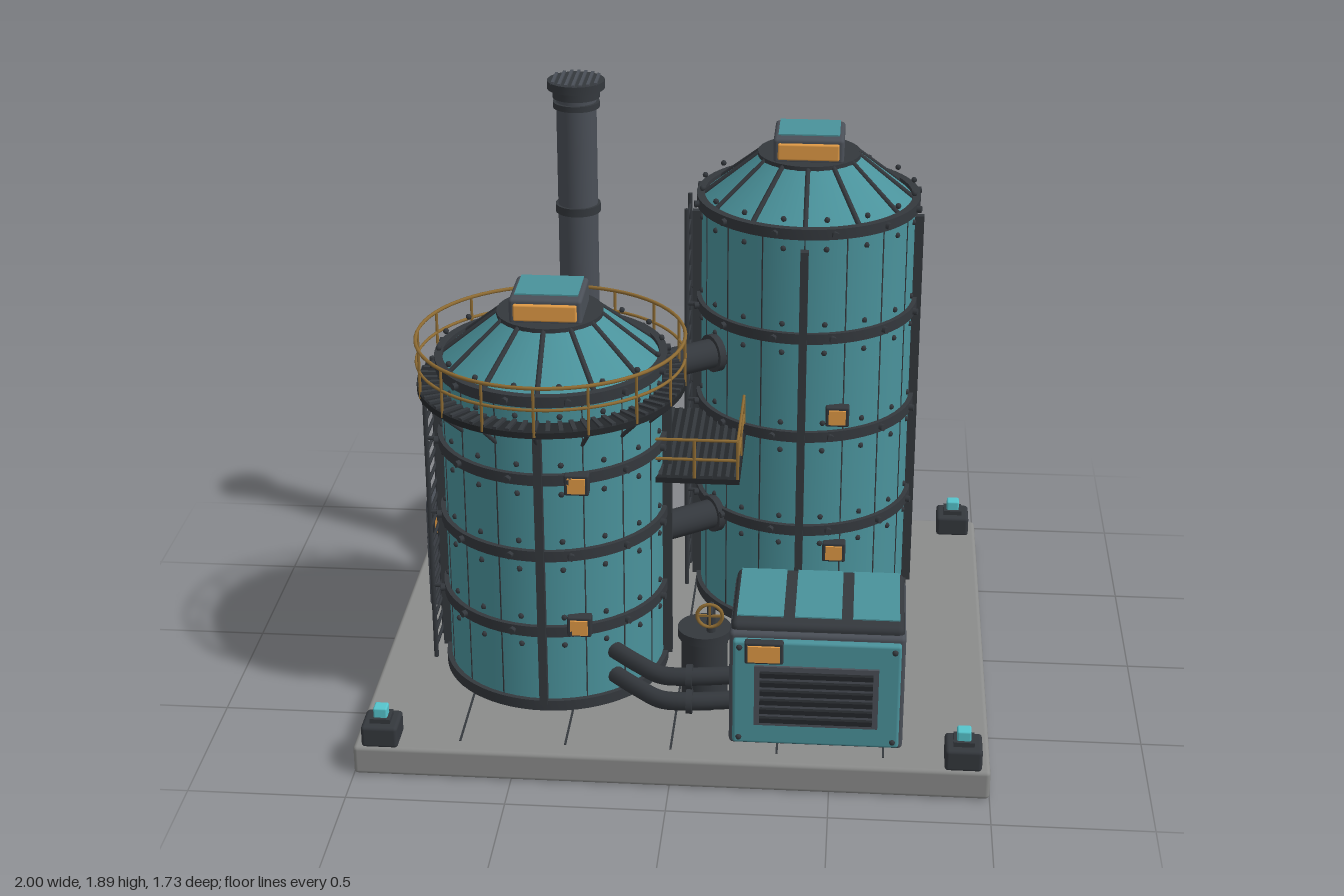
import * as THREE from 'three';
import { mergeGeometries, toCreasedNormals } from 'three/addons/utils/BufferGeometryUtils.js';
import { RoundedBoxGeometry } from 'three/addons/geometries/RoundedBoxGeometry.js';

const mat = (color) => new THREE.MeshStandardMaterial({ color, side: THREE.DoubleSide });
const teal = mat(0x4a929b), dark = mat(0x34383d), steel = mat(0x4a4f57), stone = mat(0x8b8c8b);
const amber = mat(0xe09a45), brass = mat(0x8f6c33), black = mat(0x24272a), glow = mat(0x55c4cc);
const V = (x, y, z) => new THREE.Vector3(x, y, z);

// Geometry helpers; each returns a placed geometry so repeats can be merged
const box = (w, h, d, x, y, z) => new THREE.BoxGeometry(w, h, d).translate(x, y, z);
const rbox = (w, h, d, x, y, z, r = 0.012) => new RoundedBoxGeometry(w, h, d, 2, r).translate(x, y, z);
const cyl = (r, y0, y1, x = 0, z = 0, r2 = r, n = 32) =>
  toCreasedNormals(new THREE.CylinderGeometry(r2, r, y1 - y0, n).translate(x, (y0 + y1) / 2, z), 0.6);
const hoop = (r, t, y, n = 64) => new THREE.TorusGeometry(r, t, 6, n).rotateX(Math.PI / 2).translate(0, y, 0);
function rod(a, b, r, n = 8) {
  const d = b.clone().sub(a), g = new THREE.CylinderGeometry(r, r, d.length(), n);
  g.applyQuaternion(new THREE.Quaternion().setFromUnitVectors(V(0, 1, 0), d.clone().normalize()));
  const m = a.clone().add(b).multiplyScalar(0.5);
  return g.translate(m.x, m.y, m.z);
}
// Repeats a geometry that faces +z around the y axis
const ring = (n, make, start = 0) =>
  Array.from({ length: n }, (_, i) => make(i).rotateY(start + (i / n) * Math.PI * 2));
const range = (n, fn) => Array.from({ length: n }, (_, i) => fn(i));

function add(group, name, material, ...geos) {
  const list = geos.flat().map((g) => (g.index ? g.toNonIndexed() : g));
  const mesh = new THREE.Mesh(list.length > 1 ? mergeGeometries(list) : list[0], material);
  mesh.name = name;
  group.add(mesh);
  return mesh;
}

// Flat collar with a rectangular section
const collar = (ri, ro, y0, y1) => toCreasedNormals(new THREE.LatheGeometry(
  [[ri, y0], [ro, y0], [ro, y1], [ri, y1], [ri, y0]].map((p) => new THREE.Vector2(...p)), 64), 0.6);

function tank(name, x, z, top, bands, ribTop, ladderTop) {
  const g = new THREE.Group();
  g.name = name;
  g.position.set(x, 0, z);
  const R = 0.355, coneTop = top + 0.15;
  add(g, 'tankShell', teal, cyl(R, 0.1, top, 0, 0, R, 48));
  add(g, 'panelSeams', dark, ring(16, () => box(0.004, top - 0.12, 0.004, 0, (top + 0.12) / 2, R)));
  add(g, 'bands', dark, [0.12, ...bands].map((y) => collar(R - 0.01, 0.371, y - 0.018, y + 0.018)));
  add(g, 'bandBolts', dark, bands.map((y) => [
    ring(12, () => new THREE.CylinderGeometry(0.012, 0.012, 0.02, 6).rotateX(Math.PI / 2).translate(0, y, 0.376), Math.PI / 12),
    [-0.055, 0.045].map((dy) => ring(16, () => new THREE.SphereGeometry(0.01, 6, 4).translate(0, y + dy, R), Math.PI / 16)),
  ]).flat(3));
  add(g, 'verticalRibs', dark, ring(4, () => box(0.026, ribTop - 0.13, 0.03, 0, (ribTop + 0.13) / 2, 0.37)));

  // Conical roof with radial ribs and a hatch
  add(g, 'coneRoof', teal, cyl(0.35, top, coneTop, 0, 0, 0.165, 48));
  add(g, 'roofRibs', dark, ring(12, () => rod(V(0, top + 0.004, 0.35), V(0, coneTop + 0.004, 0.16), 0.009, 6)));
  add(g, 'roofCap', dark, cyl(0.17, coneTop - 0.01, coneTop + 0.01));
  add(g, 'hatch', steel, rbox(0.23, 0.085, 0.21, 0, coneTop + 0.045, 0.015));
  add(g, 'hatchPlate', teal, box(0.2, 0.006, 0.165, 0, coneTop + 0.089, 0));
  add(g, 'hatchLamp', amber, rbox(0.2, 0.055, 0.02, 0, coneTop + 0.045, 0.122, 0.006));

  // Ladder on the side facing -x
  const rungs = Math.round((ladderTop - 0.15) / 0.055);
  add(g, 'ladder', dark,
    [-0.08, 0.08].map((dz) => rod(V(-0.4, 0.12, dz), V(-0.4, ladderTop, dz), 0.008, 6)),
    range(rungs, (i) => rod(V(-0.4, 0.16 + i * 0.055, -0.08), V(-0.4, 0.16 + i * 0.055, 0.08), 0.006, 5)),
    bands.filter((y) => y < ladderTop).flatMap((y) =>
      [-0.08, 0.08].map((dz) => rod(V(-0.4, y, dz), V(-0.34, y, dz), 0.007, 5))));

  // Indicator lamps on the front
  const lampZ = Math.sqrt(R * R - 0.118 * 0.118);
  for (const y of [0.41, 0.91]) {
    add(g, 'lampFrame', dark, rbox(0.078, 0.07, 0.04, 0.118, y, lampZ + 0.012, 0.006));
    add(g, 'lamp', amber, box(0.056, 0.05, 0.01, 0.118, y, lampZ + 0.034));
  }
  return g;
}

// Walkway around the short tank
function walkway() {
  const g = new THREE.Group();
  g.name = 'walkway';
  add(g, 'walkwayDeck', black, collar(0.35, 0.43, 1.095, 1.115));
  add(g, 'walkwaySlats', dark, ring(64, () => box(0.014, 0.01, 0.08, 0, 1.118, 0.388)));
  add(g, 'walkwayBrackets', dark, ring(16, () => rod(V(0, 1.03, 0.35), V(0, 1.095, 0.42), 0.007, 5)));
  add(g, 'walkwayRailing', brass, hoop(0.428, 0.006, 1.262), hoop(0.428, 0.005, 1.19),
    ring(16, () => rod(V(0, 1.1, 0.428), V(0, 1.262, 0.428), 0.005, 5)));
  return g;
}

function generator() {
  const g = new THREE.Group();
  g.name = 'generator';
  const cx = 0.453;
  add(g, 'generatorBody', steel, rbox(0.545, 0.4, 0.385, cx, 0.31, 0.577, 0.015));
  add(g, 'generatorLid', dark, rbox(0.535, 0.06, 0.37, cx, 0.505, 0.57, 0.02));
  add(g, 'lidPanels', teal, [-0.18, 0, 0.18].map((d) => box(0.145, 0.008, 0.31, cx + d, 0.535, 0.555)));
  add(g, 'frontPanel', teal, rbox(0.52, 0.365, 0.03, cx, 0.31, 0.778, 0.01));
  add(g, 'grilleFrame', steel, box(0.385, 0.21, 0.012, cx, 0.305, 0.796));
  add(g, 'grilleSlats', black, range(6, (i) => box(0.35, 0.016, 0.016, cx, 0.225 + i * 0.032, 0.808)));
  add(g, 'panelBolts', dark, [-1, 1].flatMap((s) => [0.15, 0.47].map((y) =>
    new THREE.SphereGeometry(0.01, 6, 4).translate(cx + s * 0.24, y, 0.793))));
  add(g, 'lampFrame', dark, rbox(0.12, 0.075, 0.03, 0.29, 0.462, 0.8, 0.006));
  add(g, 'lamp', amber, box(0.1, 0.055, 0.012, 0.29, 0.462, 0.816));
  return g;
}

export function createModel() {
  const model = new THREE.Group();
  model.name = 'industrialPlant';

  // Base slab and corner posts
  add(model, 'baseSlab', stone, rbox(2, 0.1, 1.732, 0, 0.05, 0, 0.014));
  add(model, 'baseSeams', dark, [-2, -1, 0, 1, 2].map((i) => box(0.007, 0.004, 1.61, i / 3, 0.1, 0)));
  for (const x of [-0.915, 0.915]) for (const z of [-0.802, 0.802]) {
    add(model, 'cornerPost', dark, rbox(0.116, 0.075, 0.116, x, 0.132, z), box(0.065, 0.02, 0.065, x, 0.175, z));
    add(model, 'cornerLight', glow, rbox(0.044, 0.045, 0.044, x, 0.195, z, 0.006));
  }

  // Tanks
  const short = tank('shortTank', -0.425, 0.235, 1.19, [0.39, 0.66, 0.925, 1.19], 1.09, 1.14);
  short.add(walkway());
  model.add(short, tank('tallTank', 0.37, -0.34, 1.545, [0.49, 0.835, 1.185, 1.545], 1.49, 1.52));

  // Pipes joining the tanks
  const a = V(-0.425, 0, 0.235), b = V(0.37, 0, -0.34);
  const between = (t, y) => a.clone().lerp(b, t).setY(y);
  for (const y of [0.47, 1.065]) {
    add(model, 'linkPipe', dark, rod(between(0.3, y), between(0.7, y), 0.05, 20));
    add(model, 'linkFlanges', dark, [0.36, 0.61].map((t) => rod(between(t, y), between(t + 0.025, y), 0.064, 20)));
  }

  // Exhaust stack
  const sx = -0.42, sz = -0.5;
  add(model, 'stack', steel, cyl(0.068, 0.1, 1.85, sx, sz));
  add(model, 'stackRings', dark, [0.12, 0.55, 0.99, 1.435].map((y) => cyl(0.077, y - 0.014, y + 0.014, sx, sz)));
  add(model, 'stackCap', dark, cyl(0.079, 1.79, 1.81, sx, sz), cyl(0.08, 1.825, 1.855, sx, sz), cyl(0.097, 1.855, 1.883, sx, sz));
  add(model, 'stackCapSlats', steel, range(7, (i) => {
    const d = (i - 3) * 0.024;
    return box(0.01, 0.01, 2 * Math.sqrt(0.0088 - d * d), sx + d, 1.885, sz);
  }));

  // Service platform between the tanks
  add(model, 'platformDeck', black, box(0.325, 0.018, 0.545, 0.022, 0.811, 0.063));
  add(model, 'platformSlats', dark, range(12, (i) => box(0.012, 0.008, 0.53, -0.125 + i * 0.027, 0.823, 0.063)));
  add(model, 'platformRailing', brass,
    [0.885, 0.953].flatMap((y) => [
      rod(V(-0.1, y, 0.33), V(0.178, y, 0.33), 0.005, 6), rod(V(0.178, y, 0.33), V(0.178, y, -0.03), 0.005, 6)]),
    [[0.04, 0.33], [0.178, 0.33], [0.178, 0.15], [0.178, -0.03]].map(([x, z]) => rod(V(x, 0.82, z), V(x, 0.953, z), 0.006, 6)));

  // Generator with its feed pipes
  model.add(generator());
  for (const y of [0.19, 0.28]) {
    const path = new THREE.CatmullRomCurve3(
      [V(-0.21, y, 0.5), V(-0.12, y, 0.59), V(-0.04, y, 0.655), V(0.05, y + 0.01, 0.675), V(0.2, y + 0.02, 0.67)]);
    add(model, 'feedPipe', dark, new THREE.TubeGeometry(path, 24, 0.029, 12));
    add(model, 'feedFlange', dark, rod(V(0.04, y + 0.01, 0.675), V(0.06, y + 0.01, 0.675), 0.04, 16));
  }

  // Small drum with a hand wheel
  add(model, 'drum', dark, cyl(0.075, 0.1, 0.36, 0.085, 0.49), cyl(0.086, 0.34, 0.37, 0.085, 0.49));
  add(model, 'valveStem', dark, rod(V(0.108, 0.36, 0.52), V(0.108, 0.462, 0.52), 0.014), rod(V(0.108, 0.462, 0.51), V(0.108, 0.462, 0.588), 0.01));
  add(model, 'handWheel', brass, new THREE.TorusGeometry(0.04, 0.006, 6, 24).translate(0.108, 0.462, 0.586),
    box(0.075, 0.007, 0.007, 0.108, 0.462, 0.586), box(0.007, 0.075, 0.007, 0.108, 0.462, 0.586));

  // Control cabinet
  add(model, 'cabinet', steel, rbox(0.15, 0.405, 0.315, -0.84, 0.3, -0.225));
  add(model, 'cabinetLouvres', dark, range(6, (i) => box(0.014, 0.014, 0.23, -0.915, 0.17 + i * 0.034, -0.225)));
  add(model, 'cabinetLampFrame', dark, rbox(0.088, 0.08, 0.03, -0.845, 0.43, -0.06, 0.006));
  add(model, 'cabinetLamp', amber, box(0.066, 0.058, 0.012, -0.845, 0.43, -0.043));
  add(model, 'cabinetConduit', dark, rod(V(-0.78, 0.3, -0.09), V(-0.6, 0.3, -0.05), 0.012));
  return model;
}
